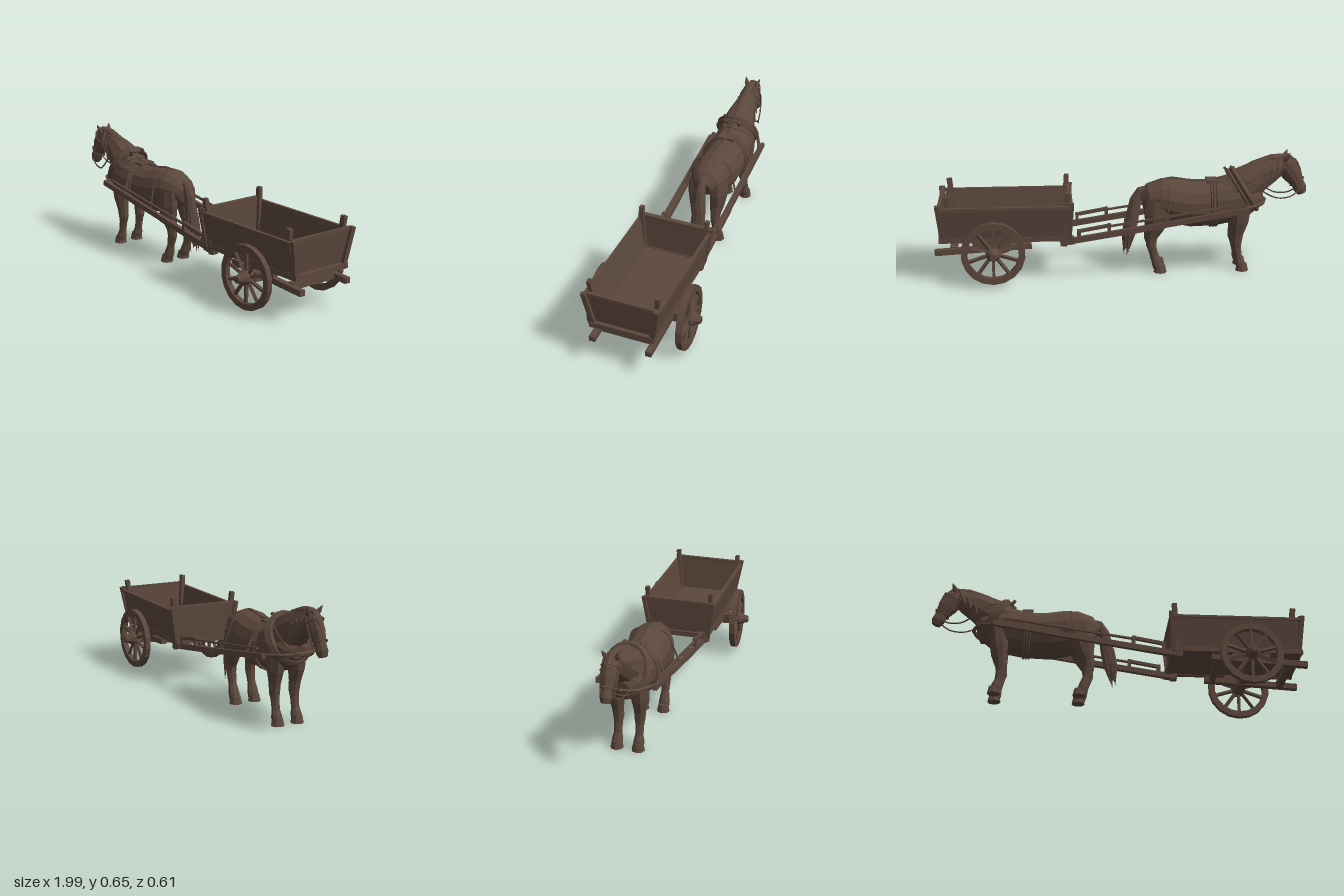
import * as THREE from 'three';

const brown = new THREE.MeshStandardMaterial({ color: 0x5b473c, flatShading: true });
brown.name = 'dark brown';
const V = (x, y, z = 0) => new THREE.Vector3(x, y, z);

function add(parent, name, geometry) {
  const mesh = new THREE.Mesh(geometry, brown);
  mesh.name = name;
  parent.add(mesh);
  return mesh;
}

// Closed skin through oval rings: [x, y, z, radius in the side plane, radius across]
function loft(parent, name, rings, sides = 10) {
  const pos = [], idx = [], n = rings.length;
  const c = rings.map(r => V(r[0], r[1], r[2]));
  rings.forEach((r, i) => {
    const t = c[Math.min(i + 1, n - 1)].clone().sub(c[Math.max(i - 1, 0)]).normalize();
    const s = V(0, 0, 1).addScaledVector(t, -t.z).normalize();
    const u = t.clone().cross(s);
    for (let j = 0; j < sides; j++) {
      const a = (j + 0.5) / sides * Math.PI * 2;
      const p = c[i].clone().addScaledVector(s, Math.cos(a) * r[4]).addScaledVector(u, Math.sin(a) * r[3]);
      pos.push(p.x, p.y, p.z);
    }
  });
  pos.push(...c[0].toArray(), ...c[n - 1].toArray());
  for (let j = 0; j < sides; j++) {
    const k = (j + 1) % sides;
    for (let i = 0; i < n - 1; i++) {
      const a = i * sides + j, b = i * sides + k;
      idx.push(a, b, a + sides, b, b + sides, a + sides);
    }
    idx.push(n * sides, k, j, n * sides + 1, (n - 1) * sides + j, (n - 1) * sides + k);
  }
  const g = new THREE.BufferGeometry();
  g.setAttribute('position', new THREE.Float32BufferAttribute(pos, 3));
  g.setIndex(idx);
  g.computeVertexNormals();
  return add(parent, name, g);
}

// Squared timber from a to b
function beam(parent, name, a, b, w, d = w) {
  const dir = b.clone().sub(a);
  const m = add(parent, name, new THREE.BoxGeometry(w, dir.length(), d));
  m.position.copy(a).add(b).multiplyScalar(0.5);
  m.quaternion.setFromUnitVectors(V(0, 1, 0), dir.normalize());
  return m;
}

function strap(parent, name, points, r = 0.006, closed = false) {
  return add(parent, name, new THREE.TubeGeometry(new THREE.CatmullRomCurve3(points, closed), 24, r, 5, closed));
}

// Oval loop around the horse, leaning in the side plane
function loop(parent, name, x, y, ry, rz, lean, r) {
  const pts = [];
  for (let i = 0; i < 14; i++) {
    const a = i / 14 * Math.PI * 2, h = Math.sin(a) * ry;
    pts.push(V(x + h * Math.sin(lean), y + h * Math.cos(lean), Math.cos(a) * rz));
  }
  return strap(parent, name, pts, r, true);
}

function buildHorse() {
  const horse = new THREE.Group();
  horse.name = 'horse';
  loft(horse, 'body', [
    [-0.75, 0.39, 0, 0.035, 0.045], [-0.72, 0.395, 0, 0.07, 0.08], [-0.66, 0.4, 0, 0.115, 0.105],
    [-0.58, 0.39, 0, 0.128, 0.112], [-0.48, 0.368, 0, 0.125, 0.112], [-0.37, 0.367, 0, 0.127, 0.118],
    [-0.27, 0.385, 0, 0.125, 0.116], [-0.2, 0.4, 0, 0.11, 0.106], [-0.14, 0.4, 0, 0.082, 0.085],
    [-0.1, 0.39, 0, 0.045, 0.045]], 14);
  loft(horse, 'neck', [
    [-0.6, 0.43, 0, 0.105, 0.1], [-0.67, 0.475, 0, 0.103, 0.09], [-0.73, 0.515, 0, 0.087, 0.07],
    [-0.8, 0.55, 0, 0.07, 0.05], [-0.86, 0.58, 0, 0.048, 0.034]]);
  loft(horse, 'head', [
    [-0.845, 0.6, 0, 0.03, 0.028], [-0.88, 0.57, 0, 0.058, 0.04], [-0.915, 0.52, 0, 0.053, 0.038],
    [-0.945, 0.47, 0, 0.035, 0.027], [-0.96, 0.44, 0, 0.036, 0.03], [-0.97, 0.415, 0, 0.024, 0.022]]);

  // Mane along the crest, with locks hanging on both sides
  loft(horse, 'mane', [
    [-0.91, 0.605, 0, 0.01, 0.012], [-0.87, 0.62, 0, 0.016, 0.02], [-0.8, 0.61, 0, 0.022, 0.025],
    [-0.7, 0.575, 0, 0.022, 0.028], [-0.6, 0.52, 0, 0.015, 0.025], [-0.54, 0.495, 0, 0.006, 0.01]], 8);
  for (const s of [-1, 1]) {
    for (let i = 0; i < 8; i++) {
      const x = -0.84 + i * 0.033, y = 0.615 - i * 0.014, w = 0.032 + i * 0.004;
      loft(horse, 'maneLock', [[x, y, s * 0.018, 0.02, 0.012], [x + 0.01, y - 0.045, s * (w + 0.012), 0.016, 0.01],
        [x + 0.022, y - 0.1 - 0.015 * (i % 3), s * (w + 0.027), 0.002, 0.002]], 5);
    }
    loft(horse, 'ear', [[-0.865, 0.6, s * 0.024, 0.015, 0.012], [-0.88, 0.625, s * 0.033, 0.012, 0.011],
      [-0.89, 0.648, s * 0.042, 0.001, 0.001]], 6);
    loft(horse, 'frontLeg', [
      [-0.63, 0.37, s * 0.06, 0.06, 0.046], [-0.625, 0.28, s * 0.06, 0.05, 0.042], [-0.615, 0.21, s * 0.058, 0.034, 0.03],
      [-0.61, 0.16, s * 0.056, 0.031, 0.027], [-0.615, 0.13, s * 0.056, 0.024, 0.022], [-0.625, 0.075, s * 0.056, 0.02, 0.021],
      [-0.633, 0.045, s * 0.056, 0.027, 0.028], [-0.64, 0.02, s * 0.056, 0.026, 0.028]], 8);
    loft(horse, 'hindLeg', [
      [-0.2, 0.4, s * 0.06, 0.085, 0.045], [-0.185, 0.32, s * 0.063, 0.075, 0.046], [-0.17, 0.25, s * 0.06, 0.048, 0.038],
      [-0.152, 0.2, s * 0.057, 0.033, 0.028], [-0.15, 0.16, s * 0.056, 0.03, 0.025], [-0.165, 0.1, s * 0.056, 0.021, 0.021],
      [-0.18, 0.05, s * 0.056, 0.027, 0.029], [-0.19, 0.02, s * 0.056, 0.026, 0.028]], 8);
    for (const x of [-0.645, -0.2]) {
      add(horse, 'hoof', new THREE.CylinderGeometry(0.026, 0.035, 0.04, 8)).position.set(x, 0.02, s * 0.056);
    }
  }
  loft(horse, 'forelock', [[-0.885, 0.625, 0, 0.012, 0.018], [-0.93, 0.585, 0, 0.014, 0.02], [-0.958, 0.55, 0, 0.002, 0.003]], 6);

  // Tail with loose strands
  loft(horse, 'tail', [
    [-0.14, 0.46, 0, 0.015, 0.015], [-0.095, 0.445, 0, 0.022, 0.022], [-0.07, 0.39, 0, 0.033, 0.028],
    [-0.052, 0.3, 0, 0.036, 0.034], [-0.035, 0.22, 0, 0.034, 0.034], [-0.025, 0.16, 0, 0.022, 0.026],
    [-0.02, 0.12, 0, 0.004, 0.006]], 8);
  for (let i = 0; i < 8; i++) {
    const a = i / 8 * Math.PI * 2, cx = Math.cos(a), sz = Math.sin(a);
    loft(horse, 'tailStrand', [[-0.05 + cx * 0.026, 0.3, sz * 0.024, 0.013, 0.013],
      [-0.032 + cx * 0.026, 0.2, sz * 0.03, 0.012, 0.012],
      [-0.022 + cx * 0.015, 0.09 + 0.025 * (i % 3), sz * 0.026, 0.001, 0.001]], 5);
  }
  return horse;
}

function buildHarness() {
  const harness = new THREE.Group();
  harness.name = 'harness';
  loop(harness, 'collar', -0.655, 0.445, 0.128, 0.105, 0.55, 0.017);
  loop(harness, 'collarRim', -0.63, 0.44, 0.125, 0.112, 0.55, 0.009);
  for (const x of [-0.5, -0.485, -0.47]) loop(harness, 'girth', x, 0.37, 0.127, 0.115, 0, 0.007);
  loop(harness, 'noseband', -0.94, 0.48, 0.042, 0.033, -1.0, 0.004);
  loop(harness, 'browband', -0.885, 0.565, 0.06, 0.043, -0.9, 0.004);
  strap(harness, 'backStrap', [V(-0.57, 0.52), V(-0.47, 0.497), V(-0.36, 0.497), V(-0.25, 0.51), V(-0.15, 0.475)], 0.007);
  add(harness, 'saddlePad', new THREE.BoxGeometry(0.06, 0.02, 0.09)).position.set(-0.48, 0.492, 0);
  for (const s of [-1, 1]) {
    beam(harness, 'hamePeak', V(-0.575, 0.52, s * 0.03), V(-0.55, 0.555, s * 0.04), 0.014);
    strap(harness, 'cheekStrap', [V(-0.87, 0.6, s * 0.04), V(-0.905, 0.53, s * 0.043), V(-0.945, 0.44, s * 0.034)], 0.004);
    strap(harness, 'rein', [V(-0.945, 0.435, s * 0.034), V(-0.9, 0.408, s * 0.045), V(-0.83, 0.405, s * 0.06),
      V(-0.76, 0.44, s * 0.085), V(-0.68, 0.5, s * 0.095), V(-0.57, 0.52, s * 0.05)], 0.004);
    strap(harness, 'breastStrap', [V(-0.768, 0.385, 0), V(-0.74, 0.38, s * 0.075), V(-0.66, 0.37, s * 0.122), V(-0.6, 0.36, s * 0.145)], 0.01);
    strap(harness, 'shaftTug', [V(-0.48, 0.43, s * 0.108), V(-0.48, 0.36, s * 0.14), V(-0.48, 0.32, s * 0.15)], 0.008);
    strap(harness, 'hipStrap', [V(-0.25, 0.507, 0), V(-0.245, 0.47, s * 0.09), V(-0.24, 0.4, s * 0.12), V(-0.22, 0.31, s * 0.148)], 0.005);
  }
  return harness;
}

function buildWheel(s) {
  const wheel = new THREE.Group();
  wheel.name = s > 0 ? 'frontWheel' : 'backWheel';
  const lathe = (name, pts, n) => add(wheel, name, new THREE.LatheGeometry(pts.map(p => new THREE.Vector2(...p)), n));
  lathe('rim', [[0.135, -0.015], [0.168, -0.015], [0.168, 0.015], [0.135, 0.015], [0.135, -0.015]], 18);
  lathe('hub', [[0, -0.045], [0.022, -0.045], [0.036, -0.015], [0.038, 0.02], [0.024, 0.045], [0.018, 0.066], [0, 0.066]], 10);
  for (let i = 0; i < 10; i++) {
    const a = (i + 0.5) / 10 * Math.PI * 2;
    beam(wheel, 'spoke', V(Math.cos(a) * 0.02, 0, Math.sin(a) * 0.02), V(Math.cos(a) * 0.14, 0, Math.sin(a) * 0.14), 0.015);
  }
  wheel.rotation.set(s * Math.PI / 2, 0, s > 0 ? -0.05 : 0.05);
  wheel.position.set(0.69, 0.188, s * 0.24);
  return wheel;
}

function buildCart() {
  const cart = new THREE.Group();
  cart.name = 'cart';
  add(cart, 'floor', new THREE.BoxGeometry(0.65, 0.018, 0.32)).position.set(0.615, 0.238, 0);

  // Tapered end boards, leaning slightly outwards
  for (const [name, x, lean] of [['frontBoard', 0.3, 0.06], ['tailBoard', 0.94, -0.12]]) {
    const shape = new THREE.Shape([[-0.15, 0], [0.15, 0], [0.19, 0.2], [-0.19, 0.2]].map(p => new THREE.Vector2(...p)));
    const g = new THREE.ExtrudeGeometry(shape, { depth: 0.014, bevelEnabled: false });
    g.translate(0, 0, -0.007).rotateY(Math.PI / 2);
    const board = add(cart, name, g);
    board.position.set(x, 0.232, 0);
    board.rotation.z = lean;
  }
  beam(cart, 'frontSill', V(0.295, 0.238, -0.17), V(0.295, 0.238, 0.17), 0.035, 0.028);
  beam(cart, 'tailSill', V(0.955, 0.238, -0.168), V(0.955, 0.238, 0.168), 0.03, 0.028);
  beam(cart, 'frontTopRail', V(0.285, 0.432, -0.2), V(0.285, 0.432, 0.2), 0.025, 0.018);
  beam(cart, 'tailTopRail', V(0.965, 0.428, -0.195), V(0.965, 0.428, 0.195), 0.018, 0.016);

  for (const s of [-1, 1]) {
    const side = add(cart, 'sideBoard', new THREE.BoxGeometry(0.66, 0.19, 0.014));
    side.position.set(0.62, 0.328, s * 0.175);
    side.rotation.x = s * 0.17;
    beam(cart, 'sideSill', V(0.28, 0.238, s * 0.16), V(0.975, 0.238, s * 0.16), 0.026, 0.024);
    beam(cart, 'sideTopRail', V(0.28, 0.415, s * 0.193), V(0.97, 0.415, s * 0.193), 0.014, 0.018);
    beam(cart, 'frontPost', V(0.318, 0.195, s * 0.158), V(0.295, 0.492, s * 0.182), 0.026, 0.022);
    beam(cart, 'frontBrace', V(0.29, 0.23, s * 0.165), V(0.275, 0.44, s * 0.198), 0.02);
    beam(cart, 'tailPost', V(0.905, 0.25, s * 0.16), V(0.93, 0.482, s * 0.18), 0.028, 0.022);
    beam(cart, 'tailBrace', V(0.955, 0.23, s * 0.155), V(0.977, 0.435, s * 0.193), 0.022, 0.026);

    // Shafts with the thinner pull rods above them
    beam(cart, 'shaft', V(-0.66, 0.368, s * 0.148), V(-0.1, 0.277, s * 0.148), 0.028, 0.02);
    beam(cart, 'shaftRear', V(-0.12, 0.28, s * 0.148), V(0.29, 0.217, s * 0.148), 0.03, 0.024);
    beam(cart, 'pullRod', V(-0.6, 0.395, s * 0.15), V(0.08, 0.295, s * 0.15), 0.01, 0.012);
    beam(cart, 'pullRodEnd', V(0.08, 0.3, s * 0.15), V(0.25, 0.27, s * 0.15), 0.017);
    for (const [x, y] of [[0.08, 0.285], [0.24, 0.255]]) {
      beam(cart, 'rodBracket', V(x, y - 0.03, s * 0.15), V(x, y + 0.025, s * 0.15), 0.018, 0.022);
    }
    beam(cart, 'shaftBlock', V(0.265, 0.225, s * 0.15), V(0.34, 0.215, s * 0.15), 0.04, 0.034);

    // Undercarriage rails and their spacers
    beam(cart, 'underRail', V(0.49, 0.2, s * 0.15), V(0.998, 0.17, s * 0.15), 0.03, 0.032);
    beam(cart, 'railSpacer', V(0.6, 0.215, s * 0.15), V(0.8, 0.21, s * 0.15), 0.04, 0.028);
    beam(cart, 'axleBlock', V(0.69, 0.18, s * 0.1), V(0.69, 0.186, s * 0.205), 0.05, 0.05);
    cart.add(buildWheel(s));
  }
  beam(cart, 'axle', V(0.69, 0.178, -0.22), V(0.69, 0.178, 0.22), 0.04, 0.036);
  beam(cart, 'rearCrossbar', V(0.9, 0.178, -0.14), V(0.9, 0.178, 0.14), 0.035, 0.036);
  beam(cart, 'frontCrossbar', V(0.53, 0.198, -0.15), V(0.53, 0.198, 0.15), 0.03, 0.028);
  return cart;
}

export function createModel() {
  const model = new THREE.Group();
  model.name = 'horseAndCart';
  model.add(buildHorse(), buildHarness(), buildCart());
  return model;
}
